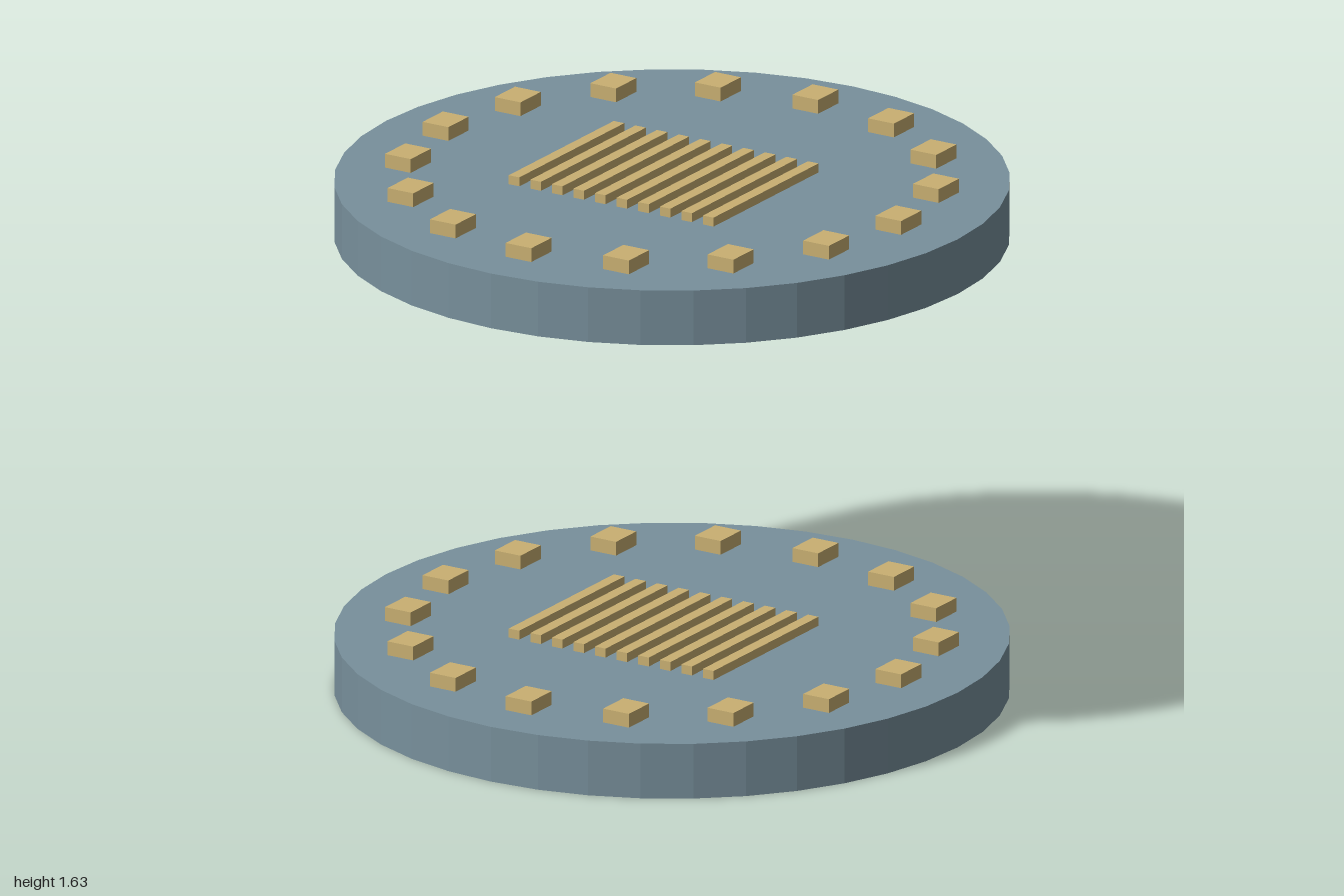
import * as THREE from 'three';

const slate = new THREE.MeshStandardMaterial({ color: 0x78909c });
slate.name = 'slate blue';
const brass = new THREE.MeshStandardMaterial({ color: 0xc9b072 });
brass.name = 'brass';
slate.flatShading = true;

const THICK = 0.171;

function addBox(parent, name, w, h, d, x, z) {
  const box = new THREE.Mesh(new THREE.BoxGeometry(w, h, d), brass);
  box.name = name;
  box.position.set(x, THICK + h / 2, z);
  parent.add(box);
}

// One round plate with a ring of studs and a central grille
function createPlate(name, y) {
  const plate = new THREE.Group();
  plate.name = name;
  plate.position.y = y;

  const disc = new THREE.Mesh(new THREE.CylinderGeometry(1, 1, THICK, 40), slate);
  disc.name = 'disc';
  disc.position.y = THICK / 2;
  plate.add(disc);

  // Ring of studs, all square to the axes
  for (let i = 0; i < 16; i++) {
    const a = (i / 16) * Math.PI * 2;
    addBox(plate, 'stud', 0.09, 0.043, 0.112, Math.cos(a) * 0.792, Math.sin(a) * 0.792);
  }

  // Grille bars, set slightly off centre
  for (let i = 0; i < 10; i++) {
    addBox(plate, 'grilleBar', 0.037, 0.028, 0.58, -0.369 + i * 0.0755, 0);
  }
  return plate;
}

export function createModel() {
  const model = new THREE.Group();
  model.name = 'platePair';
  model.add(createPlate('lowerPlate', 0), createPlate('upperPlate', 1.418));
  return model;
}
